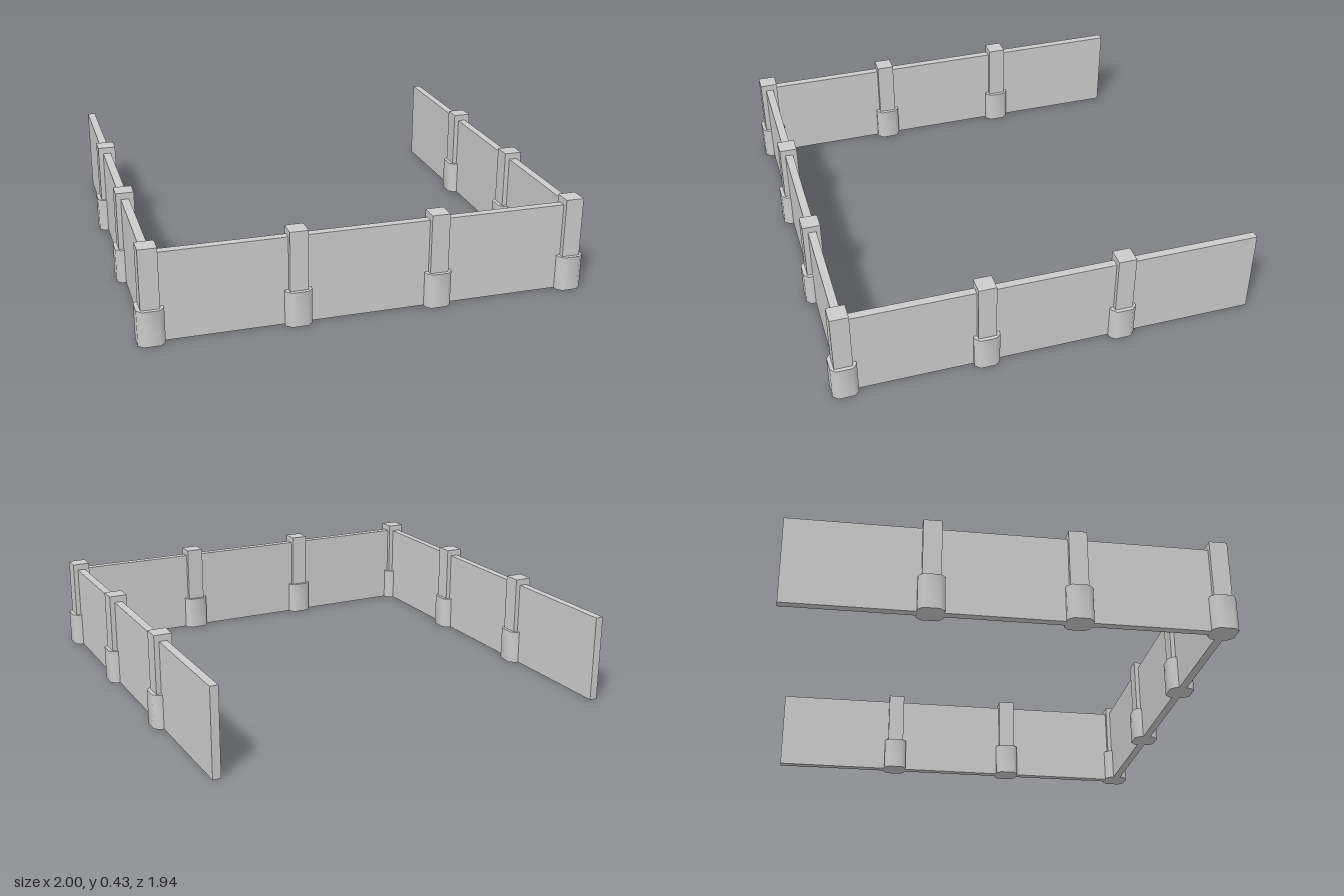
import * as THREE from 'three';
import { toCreasedNormals } from 'three/addons/utils/BufferGeometryUtils.js';

const POST_X = 0.942, FRONT_Z = 0.912, BACK_Z = -0.97, SPACING = 0.628;
const WALL_H = 0.4, WALL_T = 0.037, POST_H = 0.43, POST_W = 0.082;
const BASE_H = 0.16, BASE_W = 0.116, CHAMFER = 0.022;

// Square footing with cut corners, its sides shaded smoothly round
function footingGeometry() {
  const h = BASE_W / 2, c = h - CHAMFER;
  const outline = [[h, -c], [h, c], [c, h], [-c, h], [-h, c], [-h, -c], [-c, -h], [c, -h]];
  const shape = new THREE.Shape(outline.map(([x, y]) => new THREE.Vector2(x, y)));
  const geo = new THREE.ExtrudeGeometry(shape, { depth: BASE_H, bevelEnabled: false });
  geo.rotateX(-Math.PI / 2);
  return toCreasedNormals(geo, Math.PI / 3);
}

export function createModel() {
  const group = new THREE.Group();
  const material = new THREE.MeshStandardMaterial({ color: 0xcccccc });

  const add = (name, geometry, x, y, z, parent = group) => {
    const mesh = new THREE.Mesh(geometry, material);
    mesh.name = name;
    mesh.position.set(x, y, z);
    parent.add(mesh);
  };

  // Wall panels: one across the front, one down each side
  add('frontWall', new THREE.BoxGeometry(POST_X * 2, WALL_H, WALL_T), 0, WALL_H / 2, FRONT_Z - 0.002);
  const sideLength = FRONT_Z - BACK_Z;
  const sideGeo = new THREE.BoxGeometry(WALL_T, WALL_H, sideLength);
  for (const s of [-1, 1]) {
    add(s > 0 ? 'leftWall' : 'rightWall', sideGeo, s * POST_X, WALL_H / 2, (FRONT_Z + BACK_Z) / 2);
  }

  // Posts standing in footings, evenly spaced along the walls
  const postGeo = new THREE.BoxGeometry(POST_W, POST_H, POST_W);
  const footGeo = footingGeometry();
  const addPost = (x, z) => {
    const post = new THREE.Group();
    post.name = 'fencePost';
    post.position.set(x, 0, z);
    add('postShaft', postGeo, 0, POST_H / 2, 0, post);
    add('postFooting', footGeo, 0, 0, 0, post);
    group.add(post);
  };
  for (const s of [-1, 1]) {
    addPost(s * SPACING / 2, FRONT_Z);
    for (let i = 0; i < 3; i++) addPost(s * POST_X, FRONT_Z - i * SPACING);
  }
  return group;
}
